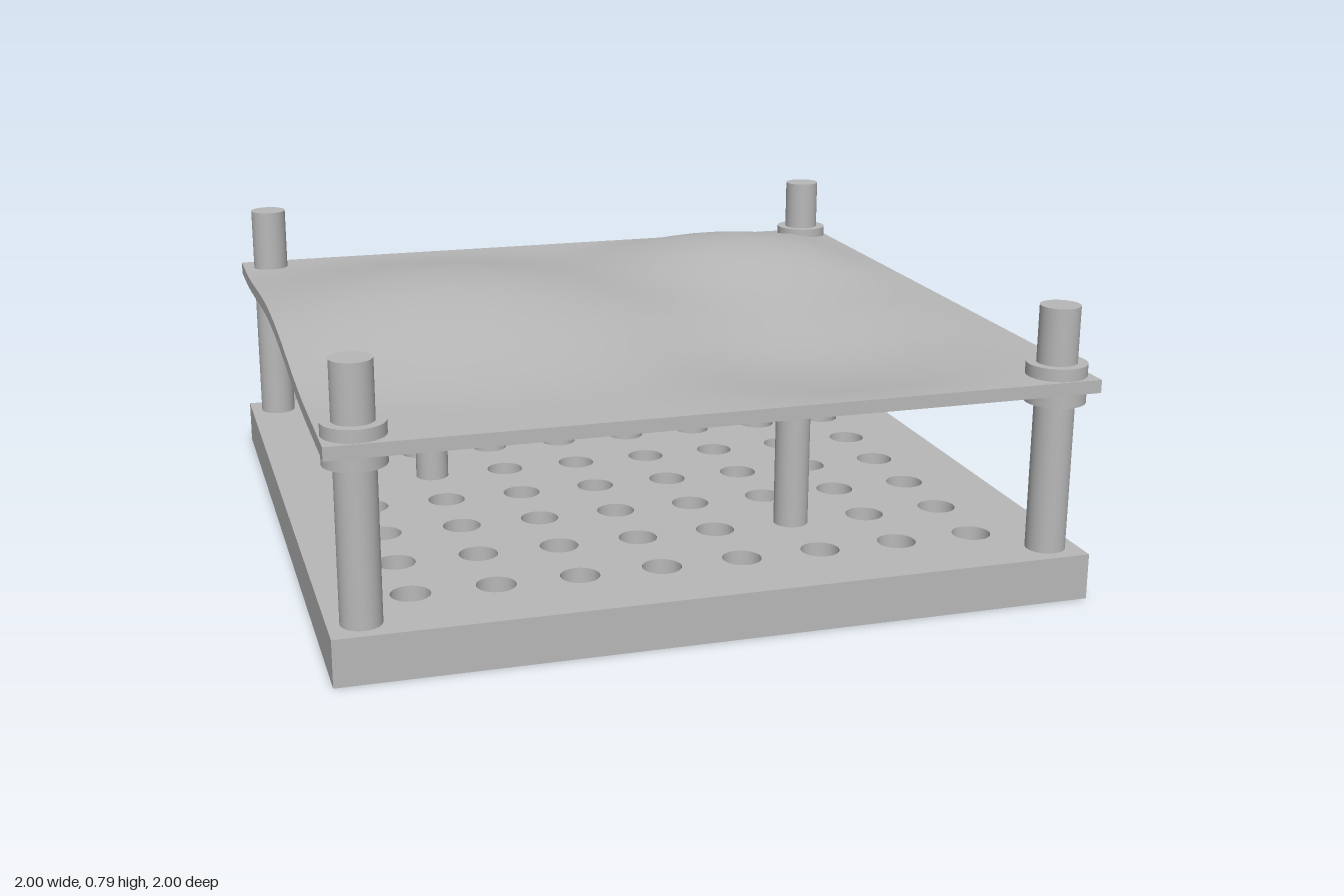
import * as THREE from 'three';

const BASE_H = 0.125, SHEET_Y = 0.57, SHEET_T = 0.035, CORNER = 0.915;

// Support pins [x, z]; each stands in one cell of the hole grid
const PINS = [[-0.55, -0.11], [0.55, -0.55], [0.33, 0.55]];

// Rounded bumps and a dip in the sheet: [x, z, height, radius]
const BUMPS = [[-0.48, -0.11, 0.11, 0.95], [0.55, -0.55, 0.078, 0.64], [0.4, 0.5, -0.055, 0.62]];

function sheetOffset(x, z) {
  let y = 0;
  for (const [bx, bz, h, r] of BUMPS) {
    const d = Math.hypot(x - bx, z - bz);
    if (d < r) y += h * 0.5 * (1 + Math.cos(Math.PI * d / r));
  }
  // flat front, back and +x edges; the -x edge stays wavy
  const fade = (v) => THREE.MathUtils.clamp((1 - v) / 0.16, 0, 1);
  return y * fade(x) * fade(Math.abs(z));
}

export function createModel() {
  const model = new THREE.Group();
  const gray = new THREE.MeshStandardMaterial({ color: 0xb8b8b8 });
  gray.name = 'gray metal';

  const add = (parent, name, geometry, x = 0, y = 0, z = 0) => {
    const mesh = new THREE.Mesh(geometry, gray);
    mesh.name = name;
    mesh.position.set(x, y, z);
    parent.add(mesh);
    return mesh;
  };
  // upright cylinder spanning y0..y1
  const rod = (parent, name, x, z, y0, y1, rBottom, rTop = rBottom) =>
    add(parent, name, new THREE.CylinderGeometry(rTop, rBottom, y1 - y0, 32), x, (y0 + y1) / 2, z);

  // Base plate with an 8 x 8 grid of through holes
  const plate = new THREE.Shape([[-1, -1], [1, -1], [1, 1], [-1, 1]].map(([x, y]) => new THREE.Vector2(x, y)));
  for (let i = 0; i < 8; i++) {
    for (let j = 0; j < 8; j++) {
      const x = -0.77 + i * 0.22, z = -0.77 + j * 0.22;
      if (PINS.some(([px, pz]) => Math.hypot(px - x, pz - z) < 0.05)) continue;
      plate.holes.push(new THREE.Path().absarc(x, -z, 0.052, 0, Math.PI * 2, true));
    }
  }
  const plateGeo = new THREE.ExtrudeGeometry(plate, { depth: BASE_H, bevelEnabled: false, curveSegments: 20 });
  plateGeo.rotateX(-Math.PI / 2);
  add(model, 'basePlate', plateGeo);

  // Thin sheet bent over the pins
  const sheet = new THREE.BoxGeometry(2, SHEET_T, 2, 24, 1, 24);
  const pos = sheet.attributes.position;
  for (let i = 0; i < pos.count; i++) {
    pos.setY(i, pos.getY(i) + sheetOffset(pos.getX(i), pos.getZ(i)));
  }
  sheet.computeVertexNormals();
  add(model, 'bentSheet', sheet, 0, SHEET_Y + SHEET_T / 2, 0);

  // Corner posts; the one at the back on the -x side has no clamping rings
  for (const sx of [-1, 1]) {
    for (const sz of [-1, 1]) {
      const post = new THREE.Group();
      post.name = 'cornerPost';
      model.add(post);
      const x = sx * CORNER, z = sz * CORNER;
      rod(post, 'postRod', x, z, BASE_H - 0.02, 0.79, 0.053);
      if (sx < 0 && sz < 0) continue;
      rod(post, 'lowerRing', x, z, 0.533, SHEET_Y, 0.08);
      rod(post, 'upperRing', x, z, SHEET_Y + SHEET_T, 0.638, 0.08);
    }
  }

  // Support pins with flared heads touching the sheet from below
  for (const [x, z] of PINS) {
    const pin = new THREE.Group();
    pin.name = 'supportPin';
    model.add(pin);
    const top = SHEET_Y + sheetOffset(x, z);
    rod(pin, 'pinRod', x, z, BASE_H - 0.02, top - 0.06, 0.047);
    rod(pin, 'pinHead', x, z, top - 0.06, top, 0.047, 0.13);
  }
  return model;
}
